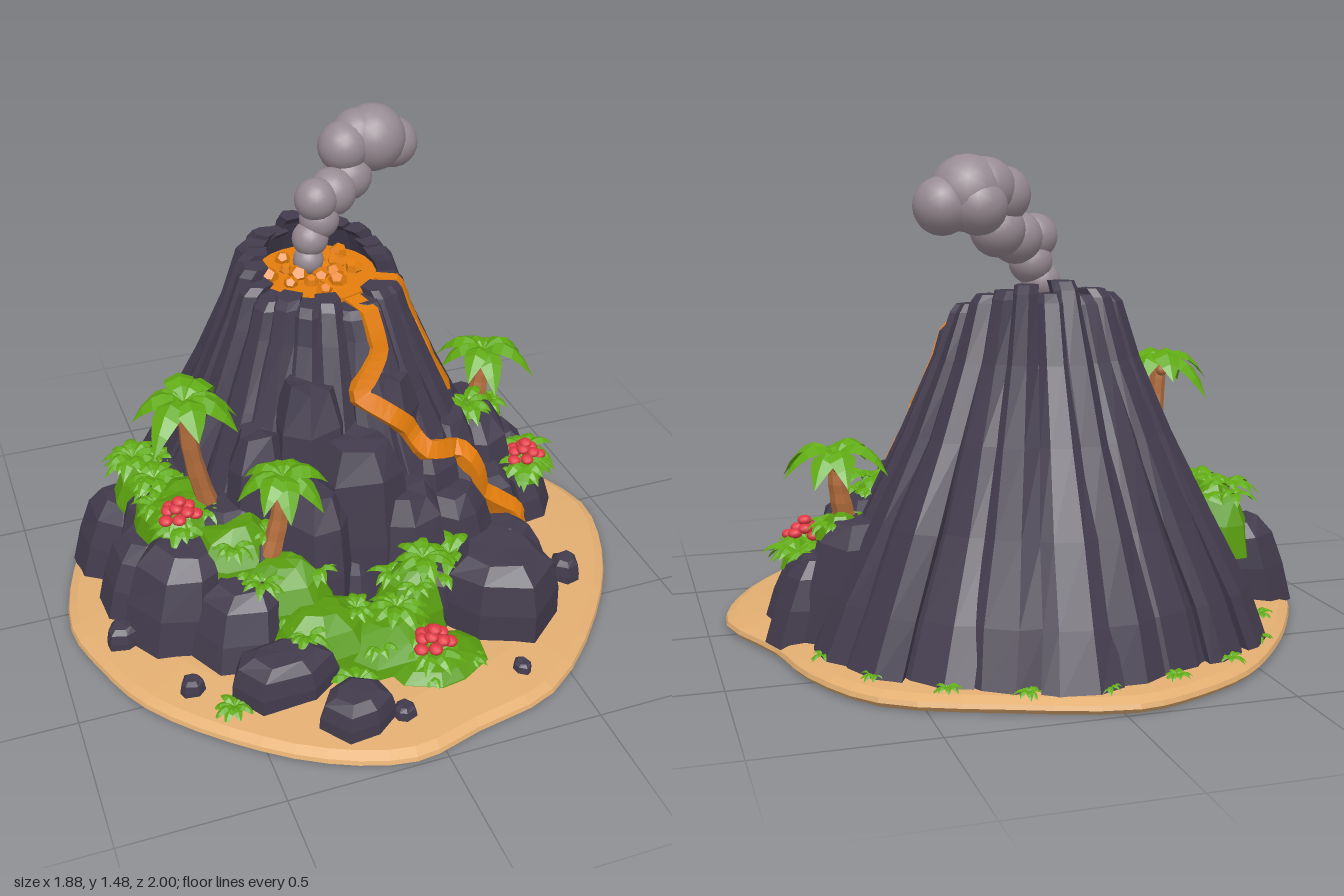
import * as THREE from 'three';
import { mergeGeometries } from 'three/addons/utils/BufferGeometryUtils.js';

const V = (x, y, z) => new THREE.Vector3(x, y, z);
const paint = (name, color, side = THREE.FrontSide) =>
  Object.assign(new THREE.MeshStandardMaterial({ color, side }), { name });

export function createModel() {
  const model = new THREE.Group();
  model.name = 'volcanoIsland';
  const mat = {
    rock: paint('basalt', 0x423b4d),
    sand: paint('sand', 0xe2ae71),
    lava: paint('lava', 0xe37d0c),
    smoke: paint('smoke', 0x988b93),
    grass: paint('grass', 0x589c0e),
    leaf: paint('leaf', 0x60aa12, THREE.DoubleSide),
    trunk: paint('trunk', 0xb26d3c),
    flower: paint('flower', 0xe23a45),
  };
  let seed = 11;
  const rand = (a = 0, b = 1) => {
    seed = (seed * 16807) % 2147483647;
    return a + (b - a) * (seed / 2147483647);
  };
  const add = (name, geo, material, parent = model) => {
    const mesh = new THREE.Mesh(geo, material);
    mesh.name = name;
    parent.add(mesh);
    return mesh;
  };
  const group = (name) => {
    const g = new THREE.Group();
    g.name = name;
    model.add(g);
    return g;
  };

  // Faceted solid through equal-length rings, closed at both ends
  function loft(rings) {
    const out = [];
    const tri = (...pts) => pts.forEach((p) => out.push(p.x, p.y, p.z));
    const n = rings[0].length;
    const middle = (r) => r.reduce((s, p) => s.add(p), V(0, 0, 0)).divideScalar(n);
    const first = rings[0], last = rings[rings.length - 1];
    const c0 = middle(first), c1 = middle(last);
    for (let i = 0; i < n; i++) {
      const j = (i + 1) % n;
      for (let k = 0; k + 1 < rings.length; k++) {
        const a = rings[k], b = rings[k + 1];
        tri(a[i], a[j], b[j]);
        tri(a[i], b[j], b[i]);
      }
      tri(c0, first[j], first[i]);
      tri(c1, last[i], last[j]);
    }
    const g = new THREE.BufferGeometry();
    g.setAttribute('position', new THREE.Float32BufferAttribute(out, 3));
    g.computeVertexNormals();
    return g;
  }

  // Sand base with a wavy shoreline
  const shore = [[0.94, 0.05], [0.83, -0.25], [0.77, -0.5], [0.62, -0.75], [0.3, -0.9], [-0.04, -1],
    [-0.23, -0.95], [-0.43, -0.84], [-0.61, -0.65], [-0.75, -0.45], [-0.88, -0.2], [-0.945, 0.1],
    [-0.89, 0.32], [-0.8, 0.52], [-0.6, 0.74], [-0.35, 0.92], [-0.1, 1], [0.12, 0.95], [0.4, 0.88],
    [0.7, 0.6], [0.88, 0.31]];
  const coast = new THREE.CatmullRomCurve3(shore.map(([x, z]) => V(x, 0, z)), true).getPoints(63).slice(0, 63);
  const layer = (s, y) => coast.map((p) => V(p.x * s, y, p.z * s));
  add('sandBase', loft([layer(0.985, 0), layer(1, 0.015), layer(0.995, 0.028), layer(0.965, 0.042), layer(0.8, 0.06)]), mat.sand);

  // Cone of leaning basalt columns around the crater axis, broader from side to side
  const axis = V(0.02, 0, -0.25);
  const profile = [[0.03, 0.665], [0.18, 0.615], [0.4, 0.515], [0.65, 0.405], [0.9, 0.3], [1.1, 0.235]];
  const radiusAt = (y, a) => {
    let i = 0;
    while (i < profile.length - 2 && y > profile[i + 1][0]) i++;
    const [y0, r0] = profile[i], [y1, r1] = profile[i + 1];
    return (r0 + ((r1 - r0) * (y - y0)) / (y1 - y0)) * (1 + 0.1 * Math.cos(a) ** 2 * Math.max(0, 0.9 - y));
  };
  const polar = (a, r, t, y) =>
    V(axis.x + Math.cos(a) * r - Math.sin(a) * t, y, axis.z - Math.sin(a) * r - Math.cos(a) * t);
  const around = (y, radius) => Array.from({ length: 24 }, (_, i) => (i / 24) * Math.PI * 2).map((a) => polar(a, radius(a), 0, y));
  const cone = group('volcanoCone');
  add('coneCore', loft([0.03, 0.2, 0.4, 0.65, 0.95].map((y) => around(y, (a) => radiusAt(y, a) - 0.035))), mat.rock, cone);
  const notches = [Math.atan2(-0.17, 0.06), Math.atan2(-0.08, 0.18)];
  const columns = 22;
  for (let i = 0; i < columns; i++) {
    const a = ((i + rand(-0.15, 0.15)) / columns) * Math.PI * 2;
    const wrapped = Math.atan2(Math.sin(a), Math.cos(a));
    const notched = notches.some((n) => Math.abs(n - wrapped) < 0.15);
    const top = notched ? 0.975 : 1.04 + 0.055 * Math.sin(a) + rand(-0.02, 0.02);
    const swell = rand(0.965, 1.015);
    const rings = [0.03, 0.2, 0.42, 0.66, 0.88, top - 0.025, top].map((y, k) => {
      const r = radiusAt(y, a) * swell * rand(0.985, 1.015) - (k === 6 ? 0.015 : 0);
      const w = ((Math.PI * r) / columns) * rand(1.04, 1.25), d = 0.065;
      return [[r - d, -w * 0.8], [r - 0.022, -w], [r, -w * 0.6], [r + 0.01, w * 0.35], [r - 0.022, w], [r - d, w * 0.8]]
        .map(([q, t]) => polar(a, q, t, y));
    });
    add('coneColumn', loft(rings), mat.rock, cone);
  }

  // Irregular tapered prisms [x, z, width, depth, top, bottom] leaning to the axis
  const blocky = [[0, 1], [0.45, 0.98], [0.82, 0.86], [1, 0.56]];
  const mounded = [[0, 1.1], [0.45, 0.98], [0.8, 0.72], [1, 0.35]];
  function boulder([x, z, w, d, h, base = 0.03], lean = 0.09, shape = blocky, sides = 7) {
    const turn = rand(0, 6.28);
    const wobble = Array.from({ length: sides }, () => [rand(0.9, 1.1), rand(-0.2, 0.2)]);
    return loft(shape.map(([f, s], k) => wobble.map(([m, da], i) => {
      const a = turn + ((i + da) / sides) * Math.PI * 2, pull = 1 - lean * f;
      return V(x * pull + Math.cos(a) * w * 0.54 * s * m,
        base + (h - base) * f + (k > 1 ? rand(-0.04, 0.02) * h : 0),
        axis.z + (z - axis.z) * pull - Math.sin(a) * d * 0.54 * s * m);
    })));
  }
  const crags = [
    [-0.13, 0.12, 0.26, 0.22, 0.79], [0.17, 0.1, 0.24, 0.2, 0.77], [-0.3, 0.1, 0.24, 0.26, 0.64],
    [0, 0.26, 0.3, 0.26, 0.63], [0.29, 0.14, 0.28, 0.22, 0.52], [-0.17, 0.3, 0.24, 0.24, 0.5],
    [0.42, 0.04, 0.24, 0.24, 0.52], [0.43, 0.14, 0.2, 0.2, 0.44], [0.14, 0.33, 0.28, 0.24, 0.45],
    [0.58, -0.07, 0.26, 0.28, 0.45], [0.57, 0.1, 0.2, 0.2, 0.3], [0.72, 0, 0.22, 0.24, 0.27],
    [0.75, -0.18, 0.2, 0.24, 0.28], [0.64, -0.26, 0.22, 0.22, 0.41], [0.54, 0.3, 0.22, 0.18, 0.2],
    [0.36, 0.27, 0.24, 0.2, 0.36],
    [-0.62, 0.24, 0.36, 0.3, 0.36], [-0.46, 0.42, 0.3, 0.26, 0.29], [-0.73, 0.06, 0.23, 0.26, 0.3],
    [-0.76, -0.18, 0.22, 0.24, 0.31], [-0.61, -0.08, 0.3, 0.36, 0.41], [-0.46, 0.12, 0.3, 0.3, 0.42],
    [-0.36, 0.25, 0.28, 0.28, 0.35]];
  const loose = [[0.38, 0.5, 0.36, 0.34, 0.31], [0.2, 0.42, 0.24, 0.22, 0.25], [-0.38, 0.61, 0.3, 0.22, 0.19],
    [-0.8, 0.24, 0.1, 0.1, 0.12], [-0.65, 0.53, 0.07, 0.07, 0.1], [-0.22, 0.81, 0.21, 0.18, 0.16],
    [-0.08, 0.84, 0.07, 0.07, 0.09], [0.34, 0.78, 0.06, 0.06, 0.08], [0.67, 0.42, 0.1, 0.1, 0.13]];
  const crag = group('frontCrags');
  crags.forEach((c) => add('crag', boulder(c), mat.rock, crag));
  const stones = group('boulders');
  loose.forEach((c) => add('boulder', boulder(c, 0), mat.rock, stones));

  // Crater lake with lumps of lava
  const crater = group('craterLava');
  add('lavaLake', loft([0.9, 0.985].map((y) => around(y, () => 0.2))), mat.lava, crater);
  for (let i = 0; i < 18; i++) {
    const lump = add('lavaLump', new THREE.DodecahedronGeometry(rand(0.02, 0.036)), mat.lava, crater);
    lump.position.copy(polar(i * 2.4, 0.03 + 0.0075 * i, 0, 0.992));
    lump.rotation.set(rand(0, 3), rand(0, 3), 0);
  }

  // Lava streams hugging the rock surface
  model.updateMatrixWorld(true);
  const ray = new THREE.Raycaster();
  const surface = [...cone.children, ...crag.children];
  function reach(a, y) {
    const from = polar(a, 1.4, 0, y);
    ray.set(from, V(axis.x, y, axis.z).sub(from).normalize());
    const hit = ray.intersectObjects(surface, false)[0];
    return hit ? 1.4 - hit.distance : 0.17;
  }
  function stream(name, points, width, raise) {
    const path = new THREE.CurvePath();
    for (let i = 0; i + 1 < points.length; i++) path.add(new THREE.LineCurve3(V(...points[i]), V(...points[i + 1])));
    const spots = path.getSpacedPoints(44).map((p) => {
      const a = Math.atan2(axis.z - p.z, p.x - axis.x), r = Math.hypot(p.x - axis.x, p.z - axis.z);
      return { a, y: p.y, r: Math.max(...[-0.025, 0, 0.025].map((o) => reach(a + o / r, p.y))) };
    });
    const line = spots.map((s, i) => {
      const near = [spots[Math.max(i - 1, 0)].r, s.r, spots[Math.min(i + 1, spots.length - 1)].r];
      return polar(s.a, (Math.max(...near) + s.r) / 2, 0, s.y);
    });
    const last = line.length - 1;
    const rings = line.map((p, i) => {
      const d = line[Math.min(i + 2, last)].clone().sub(line[Math.max(i - 2, 0)]).normalize();
      const n = polar(spots[i].a, 1, 0, 0.4).sub(axis);
      n.addScaledVector(d, -n.dot(d)).normalize();
      const s = n.clone().cross(d).multiplyScalar(width / 2);
      return [[1, -0.05], [0.85, raise], [-0.85, raise], [-1, -0.05]]
        .map(([u, v]) => p.clone().addScaledVector(s, u).addScaledVector(n, v));
    });
    rings.unshift(rings[0].map((p) => V(axis.x + (p.x - axis.x) * 0.6, 0.985, axis.z + (p.z - axis.z) * 0.6)));
    add(name, loft(rings), mat.lava);
  }
  stream('mainLavaStream', [[0.08, 0.985, -0.06], [0.1, 0.84, 0], [0.03, 0.73, 0.08], [0.19, 0.6, 0.16],
    [0.24, 0.51, 0.18], [0.41, 0.46, 0.17], [0.47, 0.29, 0.19], [0.59, 0.2, 0.2], [0.65, 0.07, 0.2]], 0.07, 0.012);
  stream('sideLavaStream', [[0.2, 0.985, -0.17], [0.28, 0.82, -0.15], [0.36, 0.72, -0.1], [0.43, 0.55, -0.1]], 0.05, 0.003);

  // Smoke plume
  const plume = group('smokePlume');
  [[0, 1.03, -0.26, 0.05], [0.01, 1.1, -0.27, 0.06], [0.045, 1.16, -0.28, 0.066], [0.03, 1.235, -0.27, 0.07],
    [0.1, 1.235, -0.31, 0.08], [0.17, 1.26, -0.36, 0.082], [0.16, 1.36, -0.37, 0.085], [0.22, 1.38, -0.4, 0.09],
    [0.27, 1.365, -0.4, 0.112], [0.35, 1.33, -0.42, 0.085], [0.25, 1.33, -0.44, 0.085]].forEach(([x, y, z, r]) =>
    add('smokePuff', new THREE.IcosahedronGeometry(r, 3), mat.smoke, plume).position.set(x, y, z));

  // Arched leaves bent from planes, gathered into rosettes
  function leaf(len, width, rise, droop) {
    const g = new THREE.PlaneGeometry(2, 1, 2, 5), p = g.attributes.position;
    for (let i = 0; i < p.count; i++) {
      const v = p.getX(i), u = p.getY(i) + 0.5;
      const w = width * (0.12 + 0.88 * Math.sin(Math.PI * Math.pow(u, 0.8))) * (u > 0.99 ? 0.1 : 1);
      p.setXYZ(i, u * len, len * (rise * u - droop * u * u) - Math.abs(v) * w * 0.45, v * w);
    }
    const flat = g.toNonIndexed();
    flat.computeVertexNormals();
    return flat;
  }
  const rosette = (n, len, width, rise, droop) => mergeGeometries(Array.from({ length: n }, (_, i) =>
    leaf(len * rand(0.85, 1.1), width, rise * rand(0.8, 1.2), droop).rotateY((i / n) * Math.PI * 2 + rand(-0.2, 0.2))));

  // Grassy terraces and the ferns growing on them
  const greens = group('greenery');
  const fern = (x, y, z, s = 0.085) =>
    add('fern', rosette(9, s, s * 0.22, 1.05, 1.2), mat.leaf, greens).position.set(x, y, z);
  [[-0.61, -0.17, 0.22, 0.28, 0.43, 0.2], [-0.53, 0.04, 0.28, 0.3, 0.44, 0.3], [-0.4, 0.2, 0.3, 0.28, 0.4, 0.22],
    [-0.29, 0.34, 0.32, 0.26, 0.32, 0.1], [-0.22, 0.48, 0.36, 0.28, 0.22], [-0.02, 0.54, 0.36, 0.28, 0.17],
    [0.1, 0.66, 0.32, 0.22, 0.1], [0.12, 0.44, 0.26, 0.2, 0.27], [0.68, 0.01, 0.15, 0.17, 0.28, 0.2],
    [0.49, -0.07, 0.12, 0.12, 0.49, 0.4], [0.61, -0.2, 0.14, 0.14, 0.42, 0.34]].forEach((m) => {
    add('grassTerrace', boulder(m, 0, mounded, 9), mat.grass, greens);
    for (let i = 0; i < 4; i++) {
      const a = i * 1.57 + rand(0, 1);
      fern(m[0] + Math.cos(a) * m[2] * 0.33, m[4] - 0.04, m[1] + Math.sin(a) * m[3] * 0.33, rand(0.06, 0.085));
    }
  });
  [[0.13, 0.3, 0.46], [0.24, 0.26, 0.42], [-0.17, 0.06, 0.68], [-0.55, 0.05, 0.64, 0.07], [0.68, 0.27, 0.06],
    [0.73, 0.26, -0.04], [0.5, 0.48, -0.06], [0.02, 0.18, 0.52], [-0.64, 0.42, -0.22], [-0.6, 0.42, -0.08]]
    .forEach(([x, y, z, s = 0.11]) => fern(x, y, z, s));
  for (let i = 0; i < 9; i++) {
    const a = 0.25 + i * 0.33, p = polar(a, radiusAt(0.05, a), 0, 0.05);
    fern(p.x, p.y, p.z, 0.045);
  }

  // Palms: curved ringed trunk, drooping fronds and nuts
  function palm(base, crown, len) {
    const g = group('palm');
    const bend = new THREE.QuadraticBezierCurve3(V(...base), V(crown[0], (base[1] + crown[1]) / 2, crown[2]), V(...crown));
    const rings = bend.getPoints(8).map((p, i) => Array.from({ length: 7 }, (_, k) => {
      const a = (k / 7) * Math.PI * 2, r = 0.036 - 0.0016 * i + (i % 2) * 0.002;
      return V(p.x + Math.cos(a) * r, p.y, p.z - Math.sin(a) * r);
    }));
    add('palmTrunk', loft(rings), mat.trunk, g);
    add('palmFronds', rosette(8, len, len * 0.26, 1.05, 1.5), mat.leaf, g).position.set(...crown);
    for (let i = 0; i < 3; i++) {
      const a = i * 2.1 + 0.5;
      add('palmNut', new THREE.IcosahedronGeometry(0.02, 1), mat.trunk, g)
        .position.set(crown[0] + Math.cos(a) * 0.032, crown[1] - 0.026, crown[2] + Math.sin(a) * 0.032);
    }
  }
  palm([-0.45, 0.36, 0.08], [-0.52, 0.795, 0.08], 0.19);
  palm([-0.33, 0.3, 0.3], [-0.27, 0.59, 0.28], 0.16);
  palm([0.59, 0.36, -0.19], [0.63, 0.59, -0.21], 0.165);

  // Flower clusters of rounded petals
  const blooms = group('flowers');
  [[0.08, 0.16, 0.68], [0.69, 0.3, 0.04], [-0.57, 0.43, 0.14]].forEach(([x, y, z]) => {
    fern(x, y - 0.06, z, 0.1);
    for (let i = 0; i < 10; i++) {
      const a = i * 2.4, r = 0.018 * Math.sqrt(i);
      const bloom = add('bloom', new THREE.IcosahedronGeometry(0.023, 1), mat.flower, blooms);
      bloom.position.set(x + Math.cos(a) * r, y + 0.04 - r * 0.9, z + Math.sin(a) * r);
      bloom.scale.y = 0.7;
    }
  });
  return model;
}
